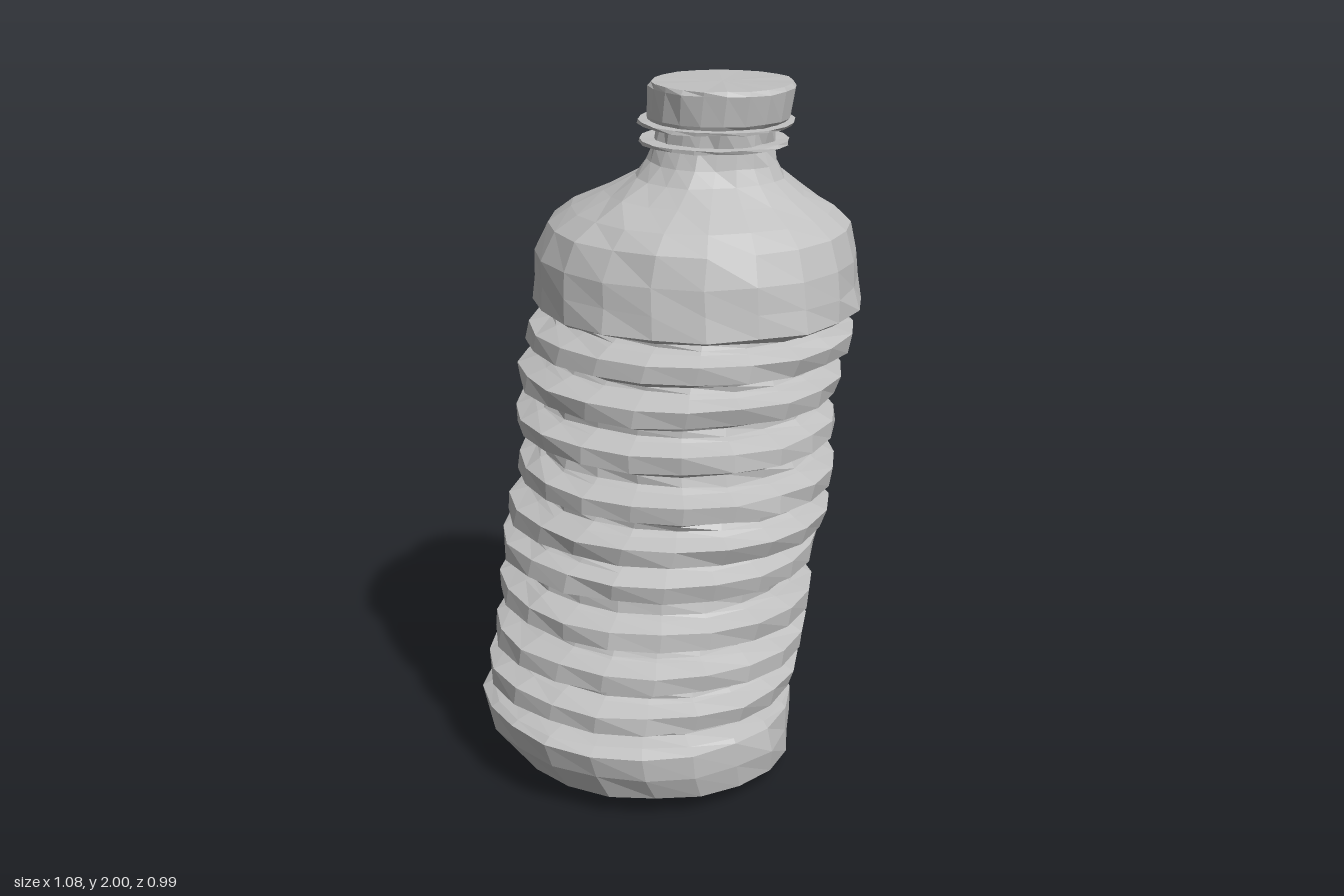
import * as THREE from 'three';

const SIDES = 20;

// Bent centre line: height, x, z
const SPINE = [
  [0, -0.05, -0.005], [0.06, -0.06, -0.01], [0.15, -0.085, -0.035], [0.2, -0.083, -0.042],
  [0.3, -0.073, -0.035], [0.425, -0.055, -0.02], [0.55, -0.03, -0.02], [0.685, -0.015, -0.033],
  [0.8, -0.008, 0.005], [0.92, 0.017, 0.02], [1.06, 0.025, -0.007], [1.185, 0.036, 0],
  [1.305, 0.06, 0.018], [1.4, 0.076, 0.035], [1.53, 0.083, 0.015], [1.65, 0.095, 0.02],
  [1.78, 0.115, 0.045], [1.88, 0.125, 0.045], [1.92, 0.135, 0.058], [2, 0.138, 0.06],
];

// Rib centre heights
const RIBS = [0.3, 0.425, 0.547, 0.685, 0.797, 0.923, 1.058, 1.185, 1.305];

function centreAt(y) {
  let i = 0;
  while (i < SPINE.length - 2 && y > SPINE[i + 1][0]) i++;
  const a = SPINE[i], b = SPINE[i + 1];
  const t = THREE.MathUtils.clamp((y - a[0]) / (b[0] - a[0]), 0, 1);
  return [a[1] + (b[1] - a[1]) * t, a[2] + (b[2] - a[2]) * t];
}

function makeRandom(seed) {
  return () => {
    seed = (seed * 16807) % 2147483647;
    return (seed / 2147483647) * 2 - 1;
  };
}

// Lathe a profile of [radius, height], dent it slightly, bend and tilt it along the spine and facet it
function crumpledLathe(profile, seed, dent) {
  const random = makeRandom(seed);
  const geo = new THREE.LatheGeometry(profile.map(([r, y]) => new THREE.Vector2(r, y)), SIDES);
  const pos = geo.attributes.position;
  const n = profile.length;
  const noise = Array.from({ length: SIDES * n }, () => [random() * dent, random() * dent * 0.4]);
  for (let i = 0; i < pos.count; i++) {
    const side = Math.floor(i / n) % SIDES;
    const [r, y0] = profile[i % n];
    const [dr, dy] = r > 0 ? noise[side * n + (i % n)] : [0, 0];
    const k = r > 0 ? (r + dr) / r : 0;
    const tilt = -0.035 * (1 - y0 / 2) * pos.getX(i);
    const y = THREE.MathUtils.clamp(y0 + dy + tilt, 0, 2);
    const [cx, cz] = centreAt(y0);
    pos.setXYZ(i, pos.getX(i) * k + cx, y, pos.getZ(i) * k + cz);
  }
  const flat = geo.toNonIndexed();
  flat.computeVertexNormals();
  return flat;
}

export function createModel() {
  const group = new THREE.Group();
  const grey = new THREE.MeshStandardMaterial({ color: 0xc0c0c0 });
  grey.name = 'plain grey';

  const add = (name, profile, seed, dent) => {
    const mesh = new THREE.Mesh(crumpledLathe(profile, seed, dent), grey);
    mesh.name = name;
    group.add(mesh);
  };

  // Rounded base, ribbed wall, shoulder and neck
  const wall = [
    [0, 0.017], [0.3, 0.014], [0.355, 0.022], [0.415, 0.055], [0.448, 0.13],
    [0.458, 0.2], [0.435, 0.215], [0.385, 0.23],
  ];
  for (const y of RIBS) {
    wall.push(
      [0.382, y - 0.055], [0.4, y - 0.043], [0.453, y - 0.028],
      [0.457, y + 0.022], [0.405, y + 0.042], [0.385, y + 0.052],
    );
  }
  wall.push(
    [0.385, 1.37], [0.44, 1.386], [0.457, 1.396], [0.448, 1.46], [0.449, 1.53],
    [0.418, 1.61], [0.365, 1.655], [0.278, 1.7], [0.207, 1.745], [0.177, 1.785], [0.166, 1.83], [0.166, 1.9],
  );
  add('bottleBody', wall, 71, 0.008);

  // Thin collars around the neck
  const collar = (y, r) => [[0.16, y - 0.006], [r, y - 0.005], [r, y + 0.005], [0.16, y + 0.006]];
  add('neckRing', collar(1.838, 0.206), 23, 0.004);
  add('tamperRing', collar(1.89, 0.214), 37, 0.006);

  // Screw cap
  add('cap', [
    [0.15, 1.89], [0.186, 1.89], [0.196, 1.905], [0.2, 1.985], [0.193, 1.998], [0, 1.998],
  ], 59, 0.004);

  return group;
}
